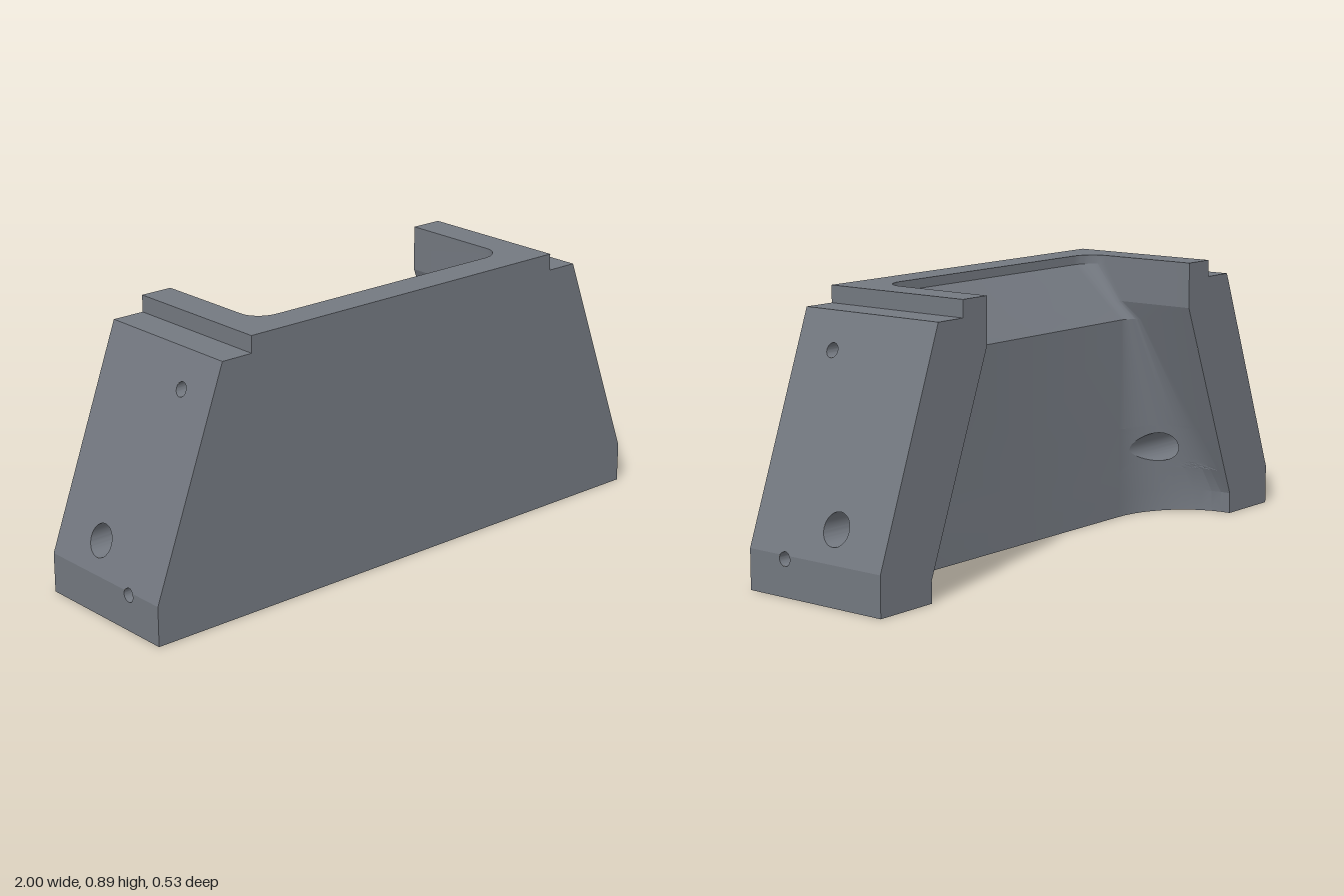
import * as THREE from 'three';
import { toCreasedNormals } from 'three/addons/utils/BufferGeometryUtils.js';

const D = 0.265;                       // half depth
const SEG = 12;                        // segments per fillet
const BORE = { y: 0.228, z: -0.06, r: 0.05 };
const PINS = [{ y: 0.72, z: 0.12, r: 0.022 }, { y: 0.118, z: 0.12, r: 0.022 }];
const KNEE = 0.13, SHOULDER = 0.835, TOP = 0.89;

// Cavity levels: height, side wall x, front wall z, x where the corner fillet starts
const LEVELS = [
  [0, 0.777, -0.005, 0.49], [0.07, 0.777, -0.005, 0.49], [0.68, 0.543, -0.005, 0.49],
  [0.74, 0.52, 0.048, 0.475], [0.86, 0.52, 0.155, 0.44], [TOP, 0.52, 0.155, 0.44],
];
const PATCH = [0.15, 0.306];           // band that holds the bore opening

const lerp = THREE.MathUtils.lerp;
const outerX = (y) => (y <= KNEE ? 1 : lerp(1, 0.74, (y - KNEE) / (SHOULDER - KNEE)));

function section(y) {
  let i = 0;
  while (i < LEVELS.length - 2 && y > LEVELS[i + 1][0]) i++;
  const a = LEVELS[i], b = LEVELS[i + 1], t = (y - a[0]) / (b[0] - a[0]);
  const [xi, zf, xc] = [1, 2, 3].map((k) => lerp(a[k], b[k], t));
  return { xi, zf, xc, rx: xi - xc, rz: (xi - xc) * 0.9 };
}

// Point on the corner fillet
function fillet(th, y) {
  const s = section(y);
  return [s.xc + s.rx * Math.sin(th), y, s.zf - s.rz * (1 - Math.cos(th))];
}
const filletRow = (y) => Array.from({ length: SEG + 1 }, (_, i) => fillet((i / SEG) * Math.PI / 2, y));

// Collects triangles of the +x half, each turned to face a target point, then mirrors them
class Surface {
  constructor() { this.pos = []; }
  tri(a, b, c, target) {
    const [A, B, C, T] = [a, b, c, target].map((p) => new THREE.Vector3(...p));
    const n = B.clone().sub(A).cross(C.clone().sub(A));
    if (n.length() < 1e-12) return;
    if (n.dot(T.sub(A)) < 0) [b, c] = [c, b];
    const m = (p) => [-p[0], p[1], p[2]];
    this.pos.push(...a, ...b, ...c, ...m(a), ...m(c), ...m(b));
  }
  quad(a, b, c, d, target) {
    this.tri(a, b, c, target);
    this.tri(a, c, d, target);
  }
  strip(r0, r1, target) {
    for (let i = 0; i + 1 < r0.length; i++) this.quad(r0[i], r0[i + 1], r1[i + 1], r1[i], target);
  }
  flat(shape, map, target) {
    const g = new THREE.ShapeGeometry(shape, 24), p = g.attributes.position, ix = g.index.array;
    const v = (i) => map(p.getX(i), p.getY(i));
    for (let i = 0; i < ix.length; i += 3) this.tri(v(ix[i]), v(ix[i + 1]), v(ix[i + 2]), target);
  }
  mesh(name, material) {
    const g = new THREE.BufferGeometry();
    g.setAttribute('position', new THREE.Float32BufferAttribute(this.pos, 3));
    const mesh = new THREE.Mesh(toCreasedNormals(g, 0.3), material);
    mesh.name = name;
    return mesh;
  }
}

const poly = (pts) => new THREE.Shape(pts.map((p) => new THREE.Vector2(...p)));
const circle = (h) => new THREE.Path().absarc(h.z, h.y, h.r, 0, Math.PI * 2);

function buildShell() {
  const s = new Surface();
  const profile = [[1, 0], [1, KNEE], [0.74, SHOULDER], [0.63, SHOULDER], [0.63, TOP]];

  // Front and back faces
  s.flat(poly([[0, 0], ...profile, [0, TOP]]), (x, y) => [x, y, D], [0, 0, 9]);
  s.flat(poly([...profile, [0.52, TOP], [0.52, 0.74], [0.777, 0.07], [0.777, 0]]),
    (x, y) => [x, y, -D], [0, 0, -9]);

  // Bottom and top, cut out around the cavity
  for (const [y, xo, dir] of [[0, 1, -9], [TOP, 0.63, 9]]) {
    const { xi, zf } = section(y);
    const inner = filletRow(y).reverse().map((p) => [p[0], p[2]]);
    s.flat(poly([[0, D], [xo, D], [xo, -D], [xi, -D], ...inner, [0, zf]]),
      (x, z) => [x, y, z], [0, dir, 0]);
  }

  // Shoulder step
  s.quad([0.63, SHOULDER, D], [0.74, SHOULDER, D], [0.74, SHOULDER, -D], [0.63, SHOULDER, -D], [0, 9, 0]);
  s.quad([0.63, SHOULDER, D], [0.63, TOP, D], [0.63, TOP, -D], [0.63, SHOULDER, -D], [9, 0, 0]);

  // Sloped and upright end faces; the lower pin hole straddles their shared edge
  const low = PINS[1], a = Math.asin((KNEE - low.y) / low.r), c = low.r * Math.cos(a);
  const slope = new THREE.Shape();
  slope.moveTo(-D, KNEE);
  slope.lineTo(low.z - c, KNEE);
  slope.absarc(low.z, low.y, low.r, Math.PI - a, a, true);
  slope.lineTo(D, KNEE);
  slope.lineTo(D, SHOULDER);
  slope.lineTo(-D, SHOULDER);
  slope.holes.push(circle(BORE), circle(PINS[0]));
  const upright = new THREE.Shape();
  upright.moveTo(-D, 0);
  upright.lineTo(D, 0);
  upright.lineTo(D, KNEE);
  upright.lineTo(low.z + c, KNEE);
  upright.absarc(low.z, low.y, low.r, a, Math.PI - a, true);
  upright.lineTo(-D, KNEE);
  for (const shape of [slope, upright]) s.flat(shape, (z, y) => [outerX(y), y, z], [9, 0.5, 0]);
  return s;
}

// Rim of the bore in fillet coordinates, paired with the edge of the patch around it
function boreRim() {
  const rim = [], h = (PATCH[1] - PATCH[0]) / 2;
  for (let k = 0; k <= 4 * SEG; k++) {
    const side = Math.floor(k / SEG) % 4, t = -1 + (2 * (k % SEG)) / SEG;
    const [p, q] = [[t, -1], [1, t], [-t, 1], [-1, -t]][side];
    const phi = Math.atan2(q, p);
    const z = BORE.z - BORE.r * Math.cos(phi), y = BORE.y + BORE.r * Math.sin(phi);
    const { zf, rz } = section(y);
    rim.push({ th: Math.acos(1 - (zf - z) / rz), y, z, edgeTh: (Math.PI / 4) * (1 + p), edgeY: BORE.y + h * q });
  }
  return rim;
}

function buildCavity() {
  const s = new Surface(), target = [0, 0.7, -1.2];
  const ys = [...LEVELS.map((l) => l[0]), ...PATCH].sort((a, b) => a - b);
  for (let i = 0; i + 1 < ys.length; i++) {
    const [a, b] = [ys[i], ys[i + 1]].map((y) => {
      const { xi, zf } = section(y);
      return { row: filletRow(y), mid: [0, y, zf], back: [xi, y, -D] };
    });
    s.strip([a.mid, a.row[0]], [b.mid, b.row[0]], target);
    s.strip([a.row[SEG], a.back], [b.row[SEG], b.back], target);
    if (ys[i] !== PATCH[0]) s.strip(a.row, b.row, target);
  }
  // Rings from the bore rim out to the patch edge
  const rim = boreRim(), rings = 8;
  const ring = (t) => rim.map((r) => fillet(lerp(r.th, r.edgeTh, t), lerp(r.y, r.edgeY, t)));
  for (let i = 0; i < rings; i++) s.strip(ring(i / rings), ring((i + 1) / rings), target);
  return s;
}

function buildBore() {
  const s = new Surface(), rim = boreRim();
  s.strip(rim.map((r) => [outerX(r.y), r.y, r.z]), rim.map((r) => fillet(r.th, r.y)), [0.75, BORE.y, BORE.z]);
  return s;
}

function buildPinHoles() {
  const s = new Surface();
  for (const { y, z, r } of PINS) {
    const end = outerX(y) - 0.2, mouth = [], floor = [];
    for (let k = 0; k <= 32; k++) {
      const a = (k / 32) * Math.PI * 2, py = y + r * Math.sin(a), pz = z + r * Math.cos(a);
      mouth.push([outerX(py), py, pz]);
      floor.push([end, py, pz]);
    }
    s.strip(mouth, floor, [end + 0.1, y, z]);
    s.strip(floor, floor.map(() => [end, y, z]), [9, y, z]);
  }
  return s;
}

export function createModel() {
  const grey = new THREE.MeshStandardMaterial({ color: 0x747981 });
  grey.name = 'slate grey';
  const model = new THREE.Group();
  model.name = 'bracket';
  model.add(
    buildShell().mesh('outerShell', grey),
    buildCavity().mesh('cavity', grey),
    buildBore().mesh('throughBore', grey),
    buildPinHoles().mesh('pinHoles', grey),
  );
  return model;
}
